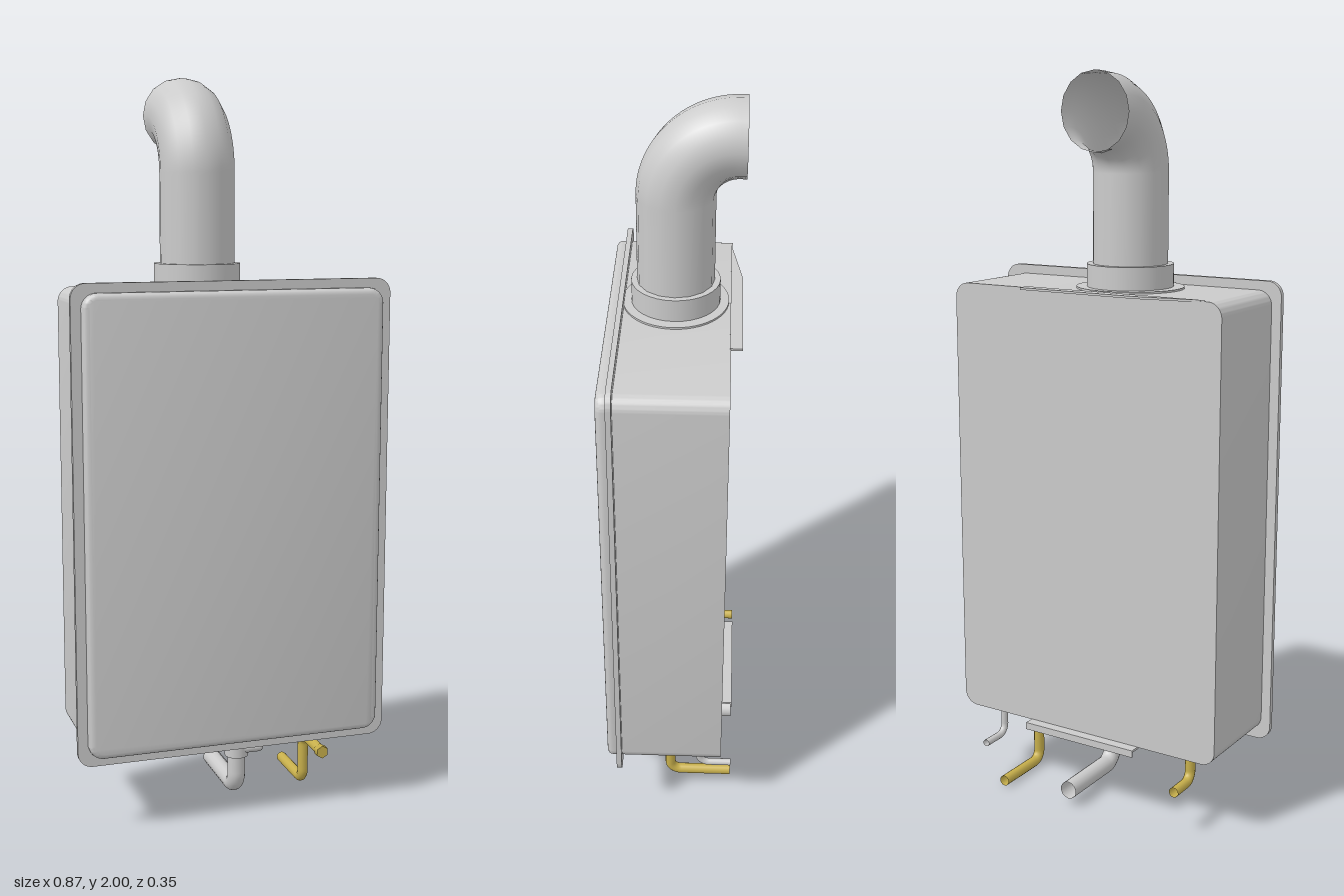
import * as THREE from 'three';
import { toCreasedNormals } from 'three/addons/utils/BufferGeometryUtils.js';

const grey = new THREE.MeshStandardMaterial({ color: 0xcccccc });
const greyOpen = new THREE.MeshStandardMaterial({ color: 0xcccccc, side: THREE.DoubleSide });
const brass = new THREE.MeshStandardMaterial({ color: 0xc8b04c, side: THREE.DoubleSide });
const dark = new THREE.MeshStandardMaterial({ color: 0x333333 });

const V = (x, y, z) => new THREE.Vector3(x, y, z);

// Rounded rectangle centred on (0, cy)
function roundedRect(w, h, r, cy) {
  const s = new THREE.Shape(), x = w / 2, b = cy - h / 2, t = cy + h / 2;
  s.absarc(x - r, t - r, r, 0, Math.PI / 2);
  s.absarc(-x + r, t - r, r, Math.PI / 2, Math.PI);
  s.absarc(-x + r, b + r, r, Math.PI, Math.PI * 1.5);
  s.absarc(x - r, b + r, r, Math.PI * 1.5, Math.PI * 2);
  s.closePath();
  return s;
}

// Path of straight runs joined by round bends of radius r
function bentPath(points, r) {
  const path = new THREE.CurvePath();
  let from = points[0];
  for (let i = 1; i < points.length - 1; i++) {
    const p = points[i];
    const a = points[i - 1].clone().sub(p).normalize();
    const b = points[i + 1].clone().sub(p).normalize();
    const start = p.clone().addScaledVector(a, r), end = p.clone().addScaledVector(b, r);
    const k = 0.448;
    path.add(new THREE.LineCurve3(from, start));
    path.add(new THREE.CubicBezierCurve3(start,
      p.clone().addScaledVector(a, r * k), p.clone().addScaledVector(b, r * k), end));
    from = end;
  }
  path.add(new THREE.LineCurve3(from, points[points.length - 1]));
  return path;
}

export function createModel() {
  const model = new THREE.Group();
  model.name = 'wallWaterHeater';

  const add = (name, geometry, material, x = 0, y = 0, z = 0) => {
    const mesh = new THREE.Mesh(geometry, material);
    mesh.name = name;
    mesh.position.set(x, y, z);
    model.add(mesh);
    return mesh;
  };
  const slab = (name, shape, z0, depth, bevel = 0) => {
    const g = new THREE.ExtrudeGeometry(shape, {
      depth: depth - bevel, curveSegments: 8, bevelEnabled: bevel > 0,
      bevelSize: bevel, bevelOffset: -bevel, bevelThickness: bevel, bevelSegments: 4,
    });
    return add(name, toCreasedNormals(g, 0.6), grey, 0, 0, z0);
  };
  const pipe = (name, points, radius, bend, material, sides = 12) =>
    add(name, new THREE.TubeGeometry(bentPath(points, bend), 64, radius, sides), material);
  const cyl = (name, r, h, material, x, y, z, sides = 24) =>
    add(name, new THREE.CylinderGeometry(r, r, h, sides), material, x, y, z);

  // Cabinet, wall flange and front cover
  slab('cabinet', roundedRect(0.82, 1.23, 0.04, 0.83), -0.148, 0.285);
  slab('flange', roundedRect(0.874, 1.28, 0.04, 0.83), 0.13, 0.014);
  slab('frontCover', roundedRect(0.82, 1.23, 0.04, 0.83), 0.14, 0.032, 0.016);

  // Flue: base disc, collar and elbow open at the back
  const fx = -0.06, fz = -0.003;
  cyl('flueBase', 0.145, 0.006, grey, fx, 1.447, fz, 48).scale.z = 0.95;
  cyl('flueCollar', 0.115, 0.066, grey, fx, 1.477, fz, 32);
  pipe('flueElbow', [V(fx, 1.45, fz), V(fx, 1.9, fz), V(fx, 1.9, -0.177)], 0.1, 0.155, greyOpen, 16);

  // Mounting brackets behind the cabinet
  const plate = (name, corners, y) => {
    const shape = new THREE.Shape(corners.map(([x, z]) => new THREE.Vector2(x, -z)));
    const g = new THREE.ExtrudeGeometry(shape, { depth: 0.006, bevelEnabled: false });
    add(name, g.rotateX(-Math.PI / 2), greyOpen, 0, y, 0);
  };
  plate('topBracket', [[-0.36, -0.145], [0.175, -0.145], [0.175, -0.177], [-0.175, -0.177]], 1.442);
  plate('bottomBracket', [[-0.175, -0.14], [0.175, -0.14], [0.175, -0.177], [-0.175, -0.177]], 0.21);
  add('bottomBracketLip', new THREE.BoxGeometry(0.35, 0.02, 0.004), grey, 0, 0.206, -0.175);

  // Drain with valve collar and lever
  pipe('drainPipe', [V(0.033, 0.22, 0.058), V(0.033, 0.045, 0.058), V(0.033, 0.045, -0.177)],
    0.025, 0.045, greyOpen, 14);
  cyl('drainCollar', 0.033, 0.05, grey, 0.033, 0.165, 0.058);
  const lever = add('drainLever', new THREE.CapsuleGeometry(0.013, 0.05, 4, 10), grey, 0.068, 0.162, 0.075);
  lever.rotation.z = Math.PI / 2;

  // Brass supply pipe with its tee and front cap
  const bx = 0.255;
  pipe('supplyPipe', [V(bx, 0.155, 0.15), V(bx, 0.155, 0), V(bx, 0.016, 0), V(bx, 0.016, -0.177)],
    0.015, 0.03, brass);
  cyl('supplyRiser', 0.015, 0.065, brass, bx, 0.187, 0.05, 12);
  cyl('supplyNut', 0.022, 0.014, brass, bx, 0.207, 0.05, 6);
  cyl('supplyCap', 0.018, 0.022, brass, bx, 0.155, 0.142, 6).rotation.x = Math.PI / 2;

  // Brass outlet and thin grey pipe
  pipe('outletPipe', [V(-0.305, 0.22, -0.085), V(-0.305, 0.128, -0.085), V(-0.305, 0.128, -0.177)],
    0.014, 0.03, brass);
  cyl('outletNut', 0.022, 0.014, brass, -0.305, 0.207, -0.085, 6);
  pipe('reliefPipe', [V(0.318, 0.22, -0.085), V(0.318, 0.118, -0.085), V(0.318, 0.118, -0.177)],
    0.01, 0.03, greyOpen);
  cyl('reliefNut', 0.018, 0.012, grey, 0.318, 0.208, -0.085, 6);

  // Underside cable hole and vent slots
  cyl('cableHole', 0.016, 0.004, dark, 0.19, 0.215, -0.09);
  for (let i = 0; i < 5; i++) {
    add('ventSlot', new THREE.BoxGeometry(0.16, 0.004, 0.007), dark, -0.15, 0.215, -0.06 + i * 0.03);
  }
  return model;
}
